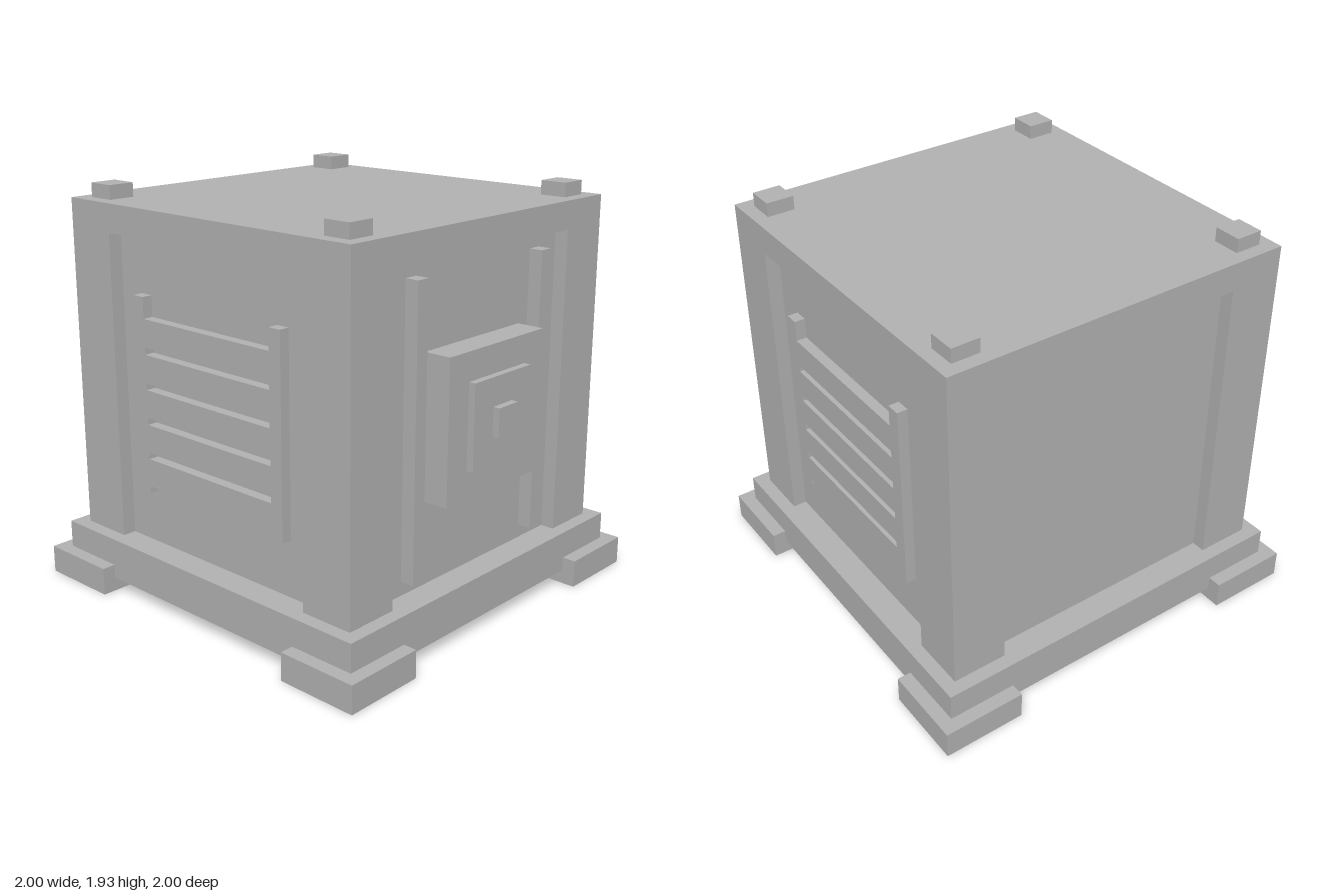
import * as THREE from 'three';

const U = 1 / 15; // modelling grid step

export function createModel() {
  const model = new THREE.Group();
  model.name = 'crate';
  const grey = new THREE.MeshStandardMaterial({ color: 0xb2b2b2 });
  grey.name = 'grey';

  // Box given by its lower and upper corners, in grid steps
  function box(parent, name, [x0, y0, z0], [x1, y1, z1]) {
    const geometry = new THREE.BoxGeometry((x1 - x0) * U, (y1 - y0) * U, (z1 - z0) * U);
    const mesh = new THREE.Mesh(geometry, grey);
    mesh.position.set((x0 + x1) / 2 * U, (y0 + y1) / 2 * U, (z0 + z1) / 2 * U);
    mesh.name = name;
    parent.add(mesh);
    return mesh;
  }

  // Box placed at a corner, mirrored by the signs of sx and sz
  function cornerBox(name, sx, sz, inner, outer, y0, y1) {
    const span = (s) => (s > 0 ? [inner, outer] : [-outer, -inner]);
    const [x0, x1] = span(sx);
    const [z0, z1] = span(sz);
    box(model, name, [x0, y0, z0], [x1, y1, z1]);
  }

  // Plinth, recessed core and roof slab
  box(model, 'plinth', [-14, 1, -14], [14, 4, 14]);
  box(model, 'recessedPanels', [-12, 4, -12], [12, 26, 12]);
  box(model, 'roof', [-13, 26, -13], [13, 28, 13]);

  // Feet, corner pillars and roof studs
  for (const sx of [-1, 1]) {
    for (const sz of [-1, 1]) {
      cornerBox('foot', sx, sz, 9, 15, 0, 2);
      cornerBox('cornerPillar', sx, sz, 9, 13, 4, 26);
      cornerBox('roofStud', sx, sz, 10, 12, 28, 29);
    }
  }

  // Front rails and stepped door boss
  for (const x of [-7, 6]) box(model, 'frontRail', [x, 5, 12], [x + 1, 25, 13]);
  box(model, 'bossPlate', [-5, 10, 12], [5, 20, 14]);
  box(model, 'bossStep', [-3, 12, 14], [3, 18, 14.5]);
  box(model, 'bossButton', [-1, 14, 14.5], [1, 16, 15]);

  // Slatted vent on each side: two posts with five flush slats
  for (const side of [-1, 1]) {
    const vent = new THREE.Group();
    vent.name = side > 0 ? 'leftVent' : 'rightVent';
    const depth = 12.75;
    for (const z of [-7, 6]) box(vent, 'ventPost', [12, 8, z], [depth, 22, z + 1]);
    for (let i = 0; i < 5; i++) {
      const y = 8.5 + i * 2.5;
      box(vent, 'ventSlat', [12, y, -6], [depth, y + 2, 6]);
    }
    if (side < 0) vent.rotation.y = Math.PI;
    model.add(vent);
  }

  return model;
}
